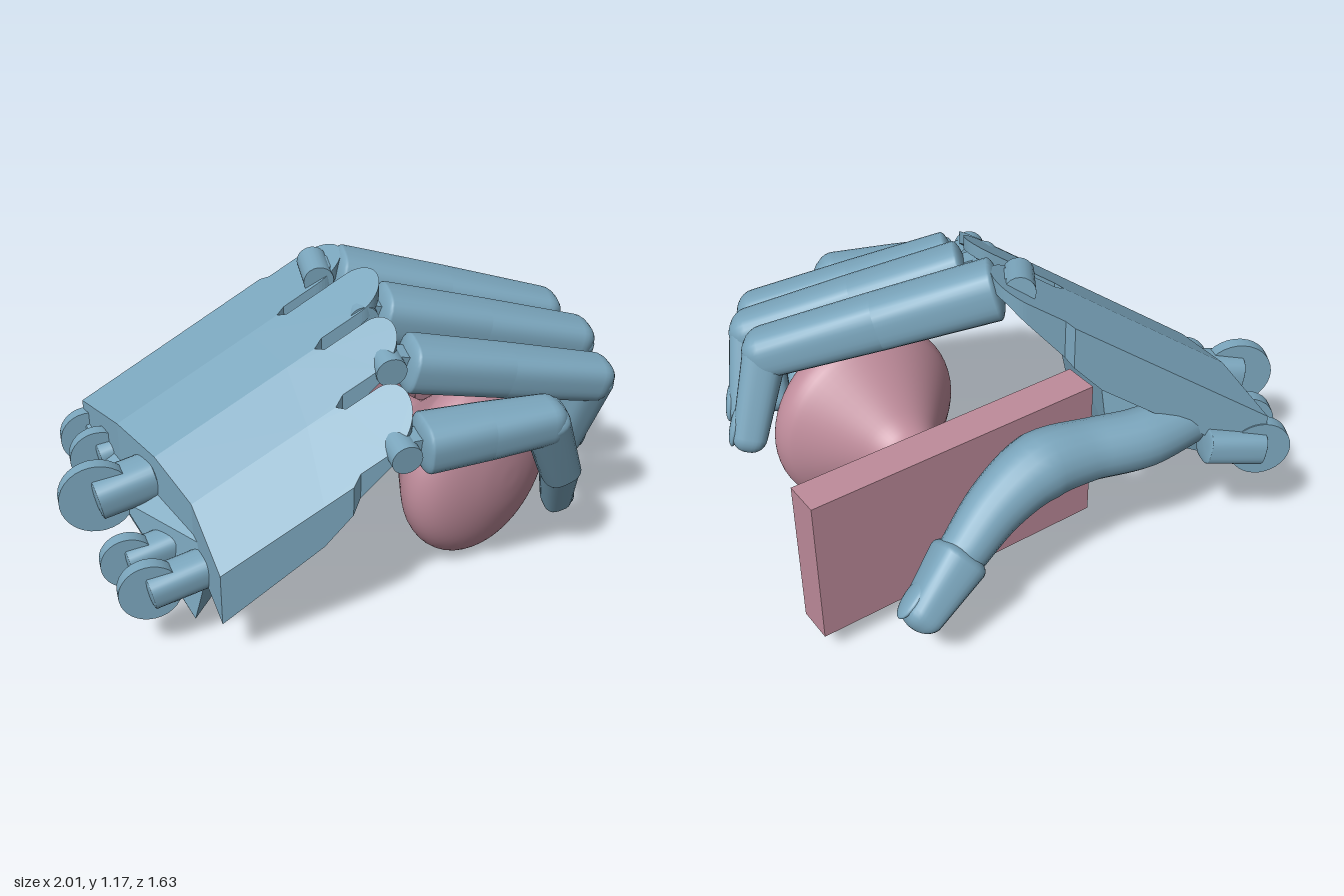
import * as THREE from 'three';
import { ConvexGeometry } from 'three/addons/geometries/ConvexGeometry.js';

const V = (x, y, z) => new THREE.Vector3(x, y, z);
const blue = new THREE.MeshStandardMaterial({ color: 0x7ba6bd, side: THREE.DoubleSide });
const pink = new THREE.MeshStandardMaterial({ color: 0xbf8c9b });
const ACROSS = V(-0.496, -0.12, 0.868).normalize();

function add(parent, name, geometry, material = blue) {
  const mesh = new THREE.Mesh(geometry, material);
  mesh.name = name;
  parent.add(mesh);
  return mesh;
}

// Orientation with y along dir and x across the hand
function frame(dir, origin) {
  const y = dir.clone().normalize();
  const z = ACROSS.clone().cross(y).normalize();
  const x = y.clone().cross(z);
  return new THREE.Matrix4().makeBasis(x, y, z).setPosition(origin);
}

// Tapered rounded-square finger link; c0 and c1 are how far each end bulges
function link(a, b, r0, r1, c0, c1) {
  const len = a.distanceTo(b), pts = [], n = 7;
  for (let i = 0; i <= n; i++) {
    const t = (i / n) * Math.PI / 2;
    pts.push(new THREE.Vector2(Math.sin(t) * r0, -Math.cos(t) * c0));
  }
  for (let i = 0; i <= n; i++) {
    const t = (i / n) * Math.PI / 2;
    pts.push(new THREE.Vector2(Math.cos(t) * r1, len + Math.sin(t) * c1));
  }
  const g = new THREE.LatheGeometry(pts, 32), p = g.attributes.position;
  for (let i = 0; i < p.count; i++) {
    const x = p.getX(i), z = p.getZ(i), r = Math.hypot(x, z);
    if (r < 1e-6) continue;
    const k = Math.pow(Math.abs(x / r) ** 3 + Math.abs(z / r) ** 3, -1 / 3);
    p.setX(i, x * k);
    p.setZ(i, z * k * 0.95);
  }
  g.computeVertexNormals();
  return g.applyMatrix4(frame(b.clone().sub(a), a));
}

// Flattened oval nail on the back of a fingertip link
function nail(parent, a, b, r, side) {
  const dir = b.clone().sub(a).normalize();
  const g = new THREE.SphereGeometry(1, 20, 12).scale(r * 0.72, r * 1.1, r * 0.28);
  const m = frame(dir, b.clone().addScaledVector(dir, -r * 0.35));
  const out = V(0, 0, 0).setFromMatrixColumn(m, 2).multiplyScalar(side * r * 0.84);
  add(parent, 'nail', g.applyMatrix4(m).translate(out.x, out.y, out.z));
}

function makeFinger(name, knuckle, joints, tip, r) {
  const f = new THREE.Group();
  f.name = name;
  const dir = joints[0].clone().sub(knuckle).normalize();
  // Knuckle hinge
  add(f, 'hingePin', new THREE.CylinderGeometry(0.055, 0.055, r * 1.5, 20).rotateZ(Math.PI / 2).applyMatrix4(frame(dir, knuckle)));
  add(f, 'hingeNeck', new THREE.BoxGeometry(r * 0.8, 0.16, 0.09).translate(0, 0.06, 0).applyMatrix4(frame(dir, knuckle)));
  // Straight first run in two flush links
  const start = knuckle.clone().addScaledVector(dir, 0.09);
  const seam = start.clone().lerp(joints[0], 0.5);
  add(f, 'proximalLink', link(start, seam, r, r * 0.94, 0.03, 0.004));
  add(f, 'middleLink', link(seam, joints[0], r * 0.94, r * 0.84, 0.004, r * 0.75));
  // Bent links down to the tip
  let from = joints[0], rr = r * 0.84;
  for (const to of joints.slice(1)) {
    add(f, 'bentLink', link(from, to, rr, rr * 0.92, rr * 0.7, 0.03));
    from = to;
    rr *= 0.92;
  }
  add(f, 'tipLink', link(from, tip, rr * 0.92, rr * 0.74, rr * 0.5, rr * 0.7));
  nail(f, from, tip, rr * 0.76, 1);
  return f;
}

// Back of the hand: u runs toward the fingers, w from thumb side to little side
const borders = [-0.383, -0.1, 0.13, 0.34, 0.57];
const drops = [0.08, 0, 0, 0.06, 0.16];
const wrist = [-0.9, -0.8, -0.7, -0.61, -0.56];
const slots = [-0.2, -0.2, -0.12, -0.1, -0.1];
const tongueEnds = [0.07, 0.14, 0.14, 0.13];

function makeStrip(i) {
  const w0 = borders[i], w1 = borders[i + 1];
  const a = w0 + 0.022, b = w1 - 0.022, mid = (a + b) / 2, r = (b - a) / 2, end = tongueEnds[i];
  const s = new THREE.Shape();
  s.moveTo(wrist[i], w0);
  s.lineTo(slots[i] - 0.1, w0);
  s.lineTo(slots[i], w0);
  s.lineTo(slots[i] + 0.03, a);
  s.lineTo(end - r, a);
  s.absellipse(end - r, mid, r, r, -Math.PI / 2, Math.PI / 2, false, 0);
  s.lineTo(slots[i + 1] + 0.03, b);
  s.lineTo(slots[i + 1], w1);
  s.lineTo(slots[i + 1] - 0.1, w1);
  s.lineTo(wrist[i + 1], w1);
  s.closePath();
  const g = new THREE.ExtrudeGeometry(s, { depth: 1, bevelEnabled: false, curveSegments: 16 });
  const p = g.attributes.position;
  for (let k = 0; k < p.count; k++) {
    const u = p.getX(k), w = p.getY(k), t = p.getZ(k);
    const x = 0.868 * u - 0.496 * w, z = 0.496 * u + 0.868 * w;
    const thick = THREE.MathUtils.clamp(0.06 - u * 0.5, 0.05, 0.2);
    const drop = THREE.MathUtils.mapLinear(w, w0, w1, drops[i], drops[i + 1]);
    p.setXYZ(k, x, 1.08 + 0.69 * x - drop - t * thick, z);
  }
  g.computeVertexNormals();
  return g;
}

export function createModel() {
  const model = new THREE.Group();
  model.name = 'handGrippingKnob';

  // Board and turned knob
  add(model, 'board', new THREE.BoxGeometry(1.14, 0.57, 0.135), pink).position.set(0.43, 0.375, -0.2825);
  const upper = [[0.105, -0.15], [0.115, -0.13], [0.115, -0.03], [0.14, 0.03], [0.2, 0.1], [0.33, 0.235],
    [0.362, 0.28], [0.372, 0.325], [0.36, 0.37], [0.32, 0.415], [0.25, 0.452], [0.15, 0.482], [0.06, 0.495], [0, 0.497]];
  const body = new THREE.SplineCurve(upper.map(([x, y]) => new THREE.Vector2(x, y))).getPoints(60);
  body[body.length - 1].x = 0;
  const knob = new THREE.Group();
  knob.name = 'knob';
  knob.position.set(0.42, 0.373, 0);
  model.add(knob);
  add(knob, 'knobBody', new THREE.LatheGeometry(body, 56).rotateX(Math.PI / 2), pink);
  const flange = [[0, -0.215], [0.2, -0.215], [0.212, -0.205], [0.212, -0.19], [0.2, -0.182], [0.195, -0.165], [0.18, -0.155], [0.1, -0.145]];
  add(knob, 'knobFlange', new THREE.LatheGeometry(flange.map(([x, y]) => new THREE.Vector2(x, y)), 48).rotateX(Math.PI / 2), pink);

  const hand = new THREE.Group();
  hand.name = 'hand';
  model.add(hand);

  // Arched back plate with a rounded hood over each knuckle
  for (let i = 0; i < 4; i++) add(hand, 'backPlate' + (i + 1), makeStrip(i));

  // Palm and heel
  add(hand, 'palmHeel', new ConvexGeometry([
    V(-0.74, 0.09, 0.03), V(-0.62, 0.14, -0.15), V(-0.32, 0.35, 0), V(-0.28, 0.42, -0.25),
    V(-0.17, 0.48, -0.4), V(-0.6, 0.33, -0.7), V(-0.7, 0.4, 0.1), V(-0.3, 0.68, 0.1),
    V(-0.15, 0.78, -0.36), V(-0.6, 0.5, -0.73), V(-0.38, 0.62, -0.62), V(-0.75, 0.42, -0.35)]));

  // Wrist hinge discs: x, y, z, radius
  const discs = [[-0.89, 0.275, -0.02, 0.11], [-0.85, 0.29, -0.19, 0.1], [-0.83, 0.46, -0.38, 0.135],
    [-0.65, 0.45, -0.61, 0.11], [-0.59, 0.45, -0.755, 0.11]];
  for (const [x, y, z, r] of discs) {
    const disc = add(hand, 'wristDisc', new THREE.CylinderGeometry(r, r, 0.05, 32));
    disc.position.set(x, y, z);
    disc.quaternion.setFromUnitVectors(V(0, 1, 0), V(-0.496, 0, 0.868).normalize());
    const arm = add(hand, 'wristArm', link(V(x, y, z), V(x + 0.19, y + 0.04, z + 0.08), r * 0.6, r * 0.6, 0.01, 0.01));
    arm.visible = true;
  }

  // Fingers
  hand.add(makeFinger('indexFinger', V(0.08, 1.1, -0.2), [V(0.82, 0.85, 0.27)], V(0.935, 0.57, 0.22), 0.105));
  hand.add(makeFinger('middleFinger', V(0.05, 1.04, 0.05), [V(0.78, 0.81, 0.46)], V(0.87, 0.56, 0.38), 0.105));
  hand.add(makeFinger('ringFinger', V(-0.04, 0.95, 0.27), [V(0.67, 0.76, 0.64)], V(0.69, 0.45, 0.53), 0.1));
  hand.add(makeFinger('littleFinger', V(-0.19, 0.76, 0.48), [V(0.3, 0.76, 0.71), V(0.47, 0.47, 0.67)], V(0.585, 0.25, 0.59), 0.1));

  // Thumb: tube of varying radius with a separate tip
  const thumb = new THREE.Group();
  thumb.name = 'thumb';
  hand.add(thumb);
  const path = new THREE.CatmullRomCurve3([V(-0.42, 0.54, -0.56), V(-0.2, 0.53, -0.55), V(0.02, 0.54, -0.5),
    V(0.2, 0.54, -0.48), V(0.38, 0.47, -0.49), V(0.56, 0.36, -0.53)]);
  const radii = [0.1, 0.11, 0.11, 0.125, 0.105, 0.085];
  const steps = 30, sides = 20;
  const g = new THREE.TubeGeometry(path, steps, 1, sides), p = g.attributes.position, v = V(0, 0, 0);
  for (let i = 0; i < p.count; i++) {
    const t = Math.floor(i / (sides + 1)) / steps, c = path.getPointAt(t);
    const k = Math.min(t * 5, 4.999), j = Math.floor(k);
    v.fromBufferAttribute(p, i).sub(c).multiplyScalar(THREE.MathUtils.lerp(radii[j], radii[j + 1], k - j)).add(c);
    p.setXYZ(i, v.x, v.y, v.z);
  }
  g.computeVertexNormals();
  add(thumb, 'thumbBody', g);
  const tipStart = V(0.57, 0.35, -0.53), tipEnd = V(0.745, 0.235, -0.575);
  add(thumb, 'thumbTip', link(tipStart, tipEnd, 0.1, 0.075, 0.05, 0.06));
  nail(thumb, tipStart, tipEnd, 0.075, 1);
  return model;
}
